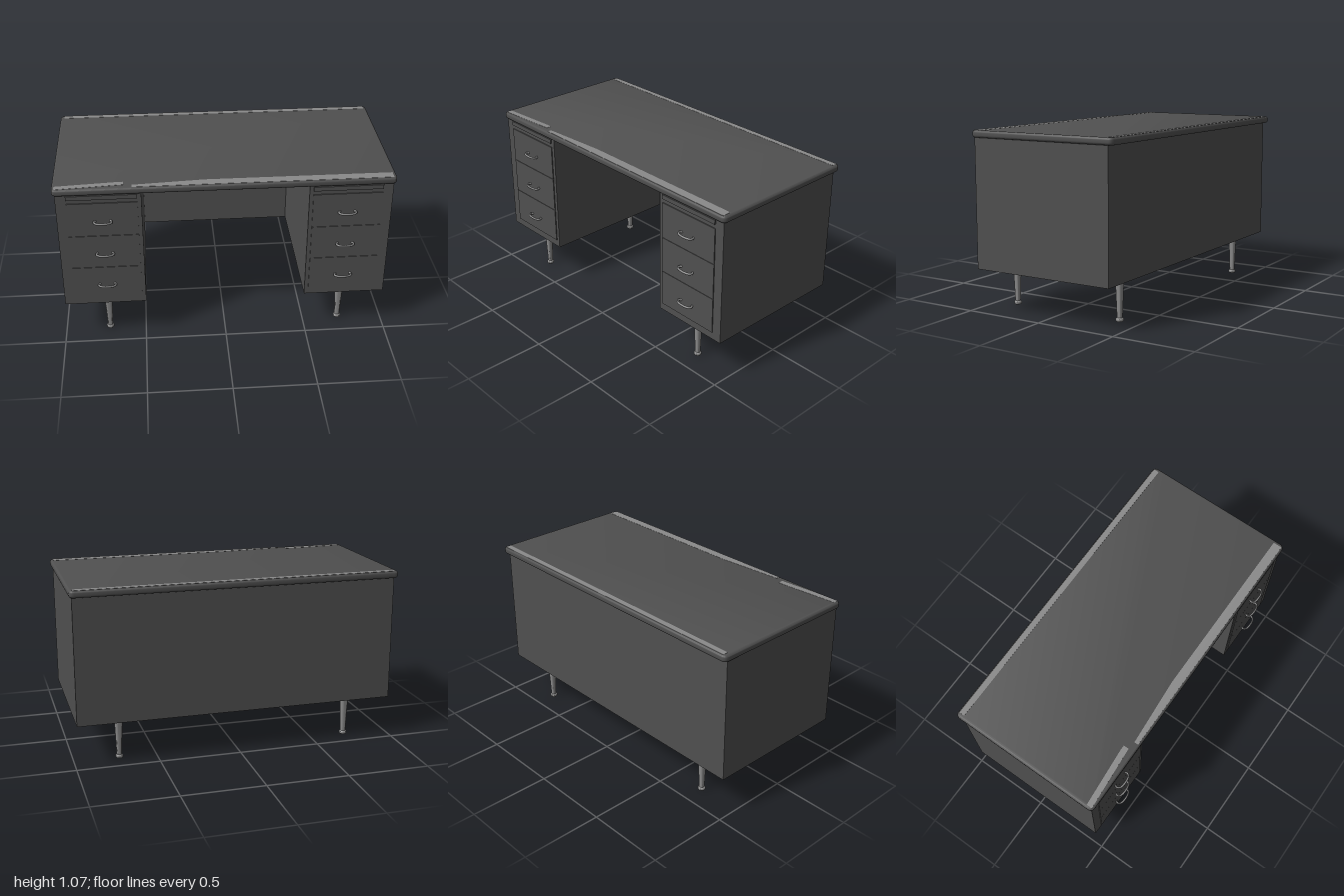
import * as THREE from 'three';
import { toCreasedNormals } from 'three/addons/utils/BufferGeometryUtils.js';

const steel = new THREE.MeshStandardMaterial({ color: 0x505050 });
steel.name = 'dark grey steel';
const metal = new THREE.MeshStandardMaterial({ color: 0x8a8a8a });
metal.name = 'light grey metal';

function add(parent, name, geometry, material, x = 0, y = 0, z = 0) {
  const mesh = new THREE.Mesh(geometry, material);
  mesh.name = name;
  mesh.position.set(x, y, z);
  parent.add(mesh);
  return mesh;
}

// Box given by its minimum and maximum corners
function box(parent, name, material, [x0, y0, z0], [x1, y1, z1]) {
  return add(parent, name, new THREE.BoxGeometry(x1 - x0, y1 - y0, z1 - z0), material,
    (x0 + x1) / 2, (y0 + y1) / 2, (z0 + z1) / 2);
}

// Slab with rounded corners and rounded edges
function topGeometry(x, z0, z1, thickness, bevel, radius) {
  const a = x - bevel, b = z0 + bevel, c = z1 - bevel, r = radius;
  const s = new THREE.Shape();
  s.moveTo(-a + r, b);
  s.lineTo(a - r, b);
  s.quadraticCurveTo(a, b, a, b + r);
  s.lineTo(a, c - r);
  s.quadraticCurveTo(a, c, a - r, c);
  s.lineTo(-a + r, c);
  s.quadraticCurveTo(-a, c, -a, c - r);
  s.lineTo(-a, b + r);
  s.quadraticCurveTo(-a, b, -a + r, b);
  const g = new THREE.ExtrudeGeometry(s, {
    depth: thickness - 2 * bevel, bevelEnabled: true, bevelSize: bevel,
    bevelThickness: bevel, bevelSegments: 4, curveSegments: 5,
  });
  g.rotateX(Math.PI / 2);
  g.translate(0, -bevel, 0);
  return toCreasedNormals(g, 0.7);
}

// Flat trim strip on the desk top, outlined by x, z pairs
function trim(parent, name, points) {
  const shape = new THREE.Shape(points.map(([x, z]) => new THREE.Vector2(x, -z)));
  const g = new THREE.ExtrudeGeometry(shape, { depth: 0.0015, bevelEnabled: false });
  g.rotateX(-Math.PI / 2);
  add(parent, name, g, metal, 0, 1.0695, 0);
}

// Bowed drawer pull
const pullCurve = new THREE.CatmullRomCurve3([
  [-0.042, 0.452], [-0.052, 0.468], [-0.042, 0.485], [0, 0.493],
  [0.042, 0.485], [0.052, 0.468], [0.042, 0.452],
].map(([x, z]) => new THREE.Vector3(x, 0, z)));
const pullGeometry = new THREE.TubeGeometry(pullCurve, 32, 0.006, 8);
pullGeometry.scale(1, 1.25, 1);

// Tapered leg with a rounded foot
const legGeometry = toCreasedNormals(new THREE.LatheGeometry([
  [0, 0], [0.019, 0], [0.023, 0.005], [0.023, 0.015], [0.019, 0.02],
  [0.016, 0.022], [0.025, 0.248], [0, 0.248],
].map(([x, y]) => new THREE.Vector2(x, y)), 20), 0.7);

function pedestal(name, side) {
  const group = new THREE.Group();
  group.name = name;
  const x = side * 0.718;
  box(group, 'cabinet', steel, [side * 0.7365 - 0.2475, 0.255, -0.46], [side * 0.7365 + 0.2475, 1.035, 0.45]);
  box(group, 'pullOutBoard', steel, [x - 0.205, 0.995, 0.44], [x + 0.205, 1.022, 0.458]);
  // Three drawers stacked with narrow gaps
  for (let i = 0; i < 3; i++) {
    const y = 0.302 + i * 0.2235;
    box(group, 'drawerFront', steel, [x - 0.206, y, 0.44], [x + 0.206, y + 0.221, 0.456]);
    add(group, 'drawerPull', pullGeometry, metal, x, y + 0.101, 0);
  }
  // Legs with mounting plates
  for (const z of [0.363, -0.37]) {
    add(group, 'leg', legGeometry, metal, side * 0.725, 0, z);
    box(group, 'legPlate', metal, [side * 0.725 - 0.048, 0.247, z - 0.048], [side * 0.725 + 0.048, 0.2555, z + 0.048]);
  }
  return group;
}

export function createModel() {
  const desk = new THREE.Group();
  desk.name = 'desk';

  desk.add(pedestal('leftPedestal', 1), pedestal('rightPedestal', -1));
  box(desk, 'backPanel', steel, [-0.984, 0.255, -0.465], [0.984, 1.035, -0.45]);

  add(desk, 'deskTop', topGeometry(1, -0.5, 0.465, 0.043, 0.014, 0.016), steel, 0, 1.07, 0);

  // Trim along the front and back edges
  trim(desk, 'backTrim', [[-0.975, -0.49], [0.98, -0.49], [0.98, -0.455], [-0.975, -0.455]]);
  trim(desk, 'frontTrim', [[-0.54, 0.43], [-0.12, 0.4], [0.98, 0.4], [0.98, 0.455], [-0.54, 0.455]]);
  trim(desk, 'frontTrimEnd', [[-0.985, 0.42], [-0.62, 0.392], [-0.59, 0.392], [-0.59, 0.425], [-0.985, 0.455]]);
  return desk;
}
